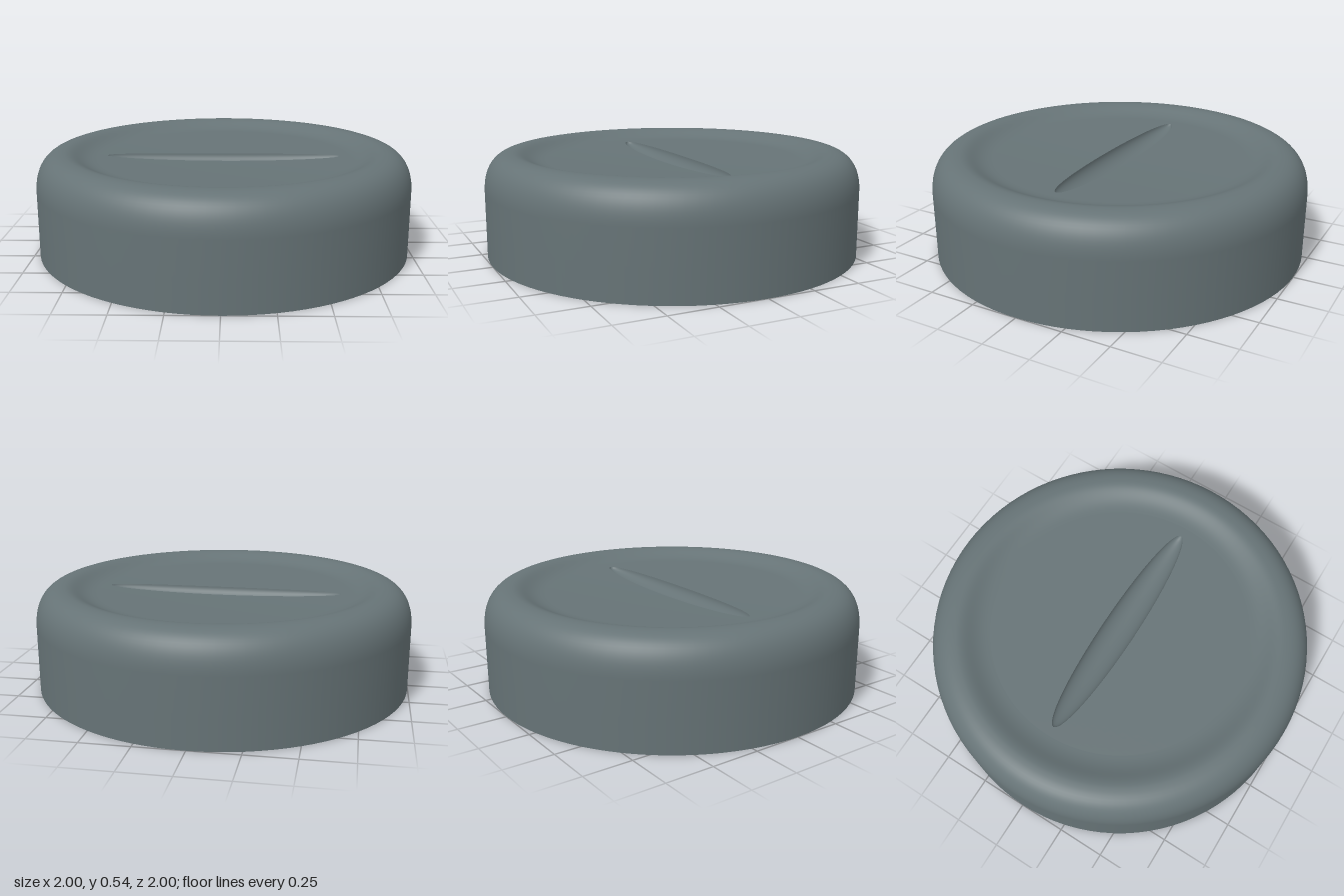
import * as THREE from 'three';

const SEG = 96;
const FLOOR_R = 0.68, GROOVE_X = 0.63, GROOVE_Z = 0.088, GROOVE_DEPTH = 0.065;

// height of the shallow dished floor at radius r
const floorY = (r) => 0.483 + 0.01 * (r / FLOOR_R) ** 2;

// upward-facing sheet of closed loops, from inner (t = 0) to outer (t = 1)
function ringSheet(rings, pointAt) {
  const pos = [], index = [];
  for (let j = 0; j <= rings; j++) {
    for (let i = 0; i < SEG; i++) {
      pos.push(...pointAt((i / SEG) * Math.PI * 2, j / rings));
    }
  }
  for (let j = 0; j < rings; j++) {
    for (let i = 0; i < SEG; i++) {
      const k = (i + 1) % SEG;
      const a = j * SEG + i, b = j * SEG + k, c = a + SEG, d = b + SEG;
      index.push(a, b, c, b, d, c);
    }
  }
  const geo = new THREE.BufferGeometry();
  geo.setAttribute('position', new THREE.Float32BufferAttribute(pos, 3));
  geo.setIndex(index);
  geo.computeVertexNormals();
  return geo;
}

export function createModel() {
  const group = new THREE.Group();
  group.name = 'roundCap';
  const material = new THREE.MeshStandardMaterial({ color: 0x667376, side: THREE.DoubleSide });
  material.name = 'slateGrey';
  const add = (name, geo) => {
    const mesh = new THREE.Mesh(geo, material);
    mesh.name = name;
    group.add(mesh);
  };

  // thin straight wall, rounded shoulder and the slope into the dish
  const path = new THREE.CurvePath();
  const v = (x, y) => new THREE.Vector2(x, y);
  path.add(new THREE.LineCurve(v(1, 0), v(1, 0.35)));
  path.add(new THREE.CubicBezierCurve(v(1, 0.35), v(1, 0.46), v(0.95, 0.54), v(0.85, 0.54)));
  path.add(new THREE.CubicBezierCurve(v(0.85, 0.54), v(0.79, 0.54), v(0.77, 0.497), v(FLOOR_R, floorY(FLOOR_R))));
  const profile = path.curves.flatMap((c, i) => c.getPoints(i ? 14 : 2).slice(i ? 1 : 0));
  add('wallAndRim', new THREE.LatheGeometry(profile, SEG));

  // dished floor around the slot
  add('dishFloor', ringSheet(10, (a, t) => {
    const x = Math.cos(a) * THREE.MathUtils.lerp(GROOVE_X, FLOOR_R, t);
    const z = -Math.sin(a) * THREE.MathUtils.lerp(GROOVE_Z, FLOOR_R, t);
    return [x, floorY(Math.hypot(x, z)), z];
  }));

  // long hollow grip slot, deepest along its middle
  add('gripSlot', ringSheet(14, (a, t) => {
    const s = Math.sin(t * Math.PI / 2);
    const x = Math.cos(a) * GROOVE_X * s, z = -Math.sin(a) * GROOVE_Z * s;
    return [x, floorY(Math.hypot(x, z)) - GROOVE_DEPTH * Math.cos(t * Math.PI / 2), z];
  }));

  return group;
}
